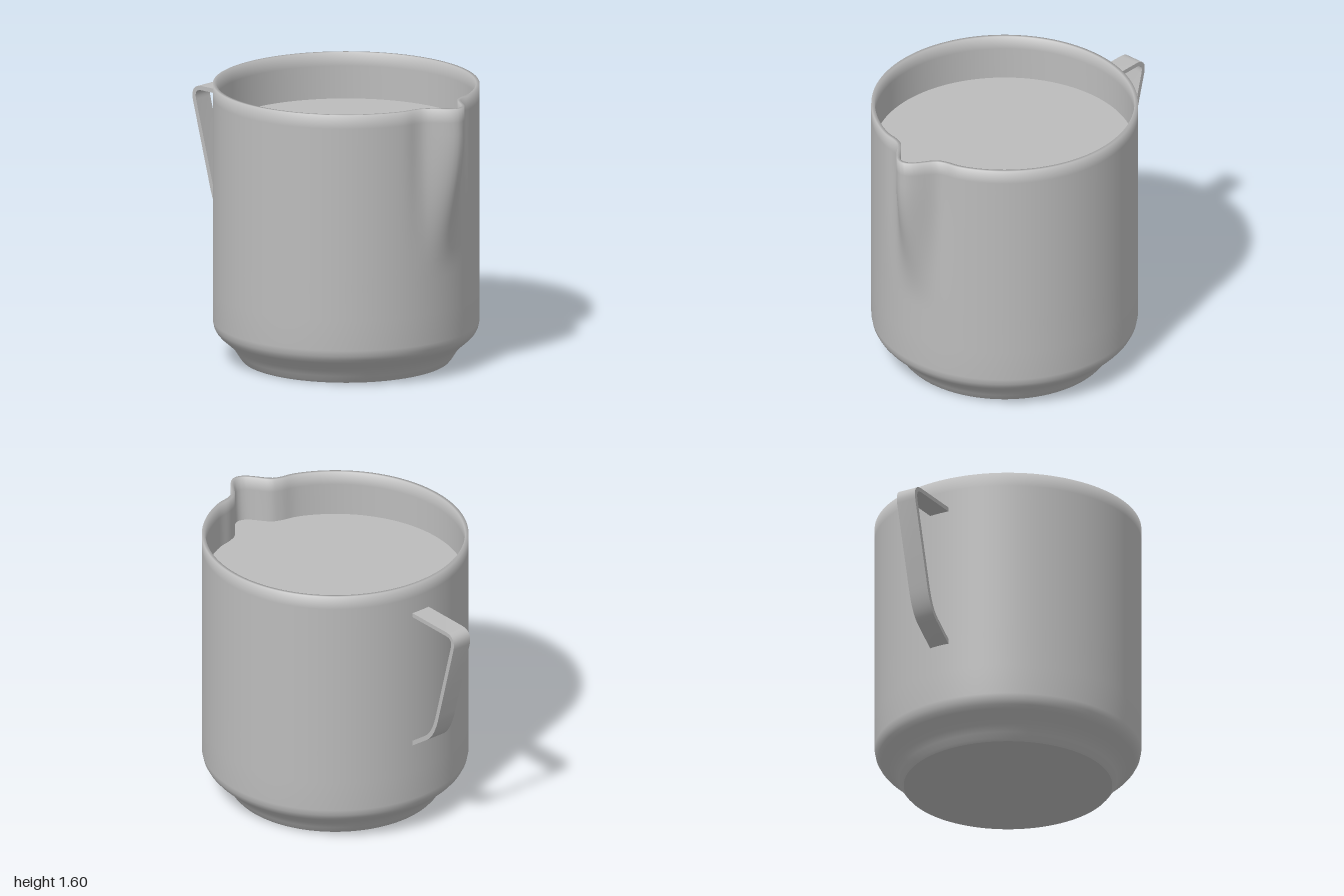
import * as THREE from 'three';
import { toCreasedNormals } from 'three/addons/utils/BufferGeometryUtils.js';

const SEGMENTS = 240;
const CENTER_Z = 0.12; // axis of the round body
const TOP = 1.6;

// How far the pouring spout pushes the wall out at sideways distance x and height y
function spout(x, y, halfWidth) {
  const rise = THREE.MathUtils.smoothstep(y, 0.62, 1.45);
  const d = Math.abs(x);
  const ridge = d < halfWidth ? 0.125 * Math.cos((Math.PI / 2) * d / halfWidth) ** 2 : 0;
  const dent = 0.01 * Math.exp(-(((d - 0.2) / 0.05) ** 2));
  return rise * (ridge - dent);
}

// Sweeps rows of [radius, height, spout half width] around the body axis
function sweep(rows) {
  const positions = [], index = [];
  rows.forEach(([r, y, halfWidth], i) => {
    for (let j = 0; j < SEGMENTS; j++) {
      const a = (j / SEGMENTS) * Math.PI * 2;
      const bump = halfWidth && Math.cos(a) > 0 ? spout(r * Math.sin(a), y, halfWidth) : 0;
      positions.push((r + bump) * Math.sin(a), y, CENTER_Z + (r + bump) * Math.cos(a));
      if (i < rows.length - 1) {
        const k = (j + 1) % SEGMENTS;
        const p = i * SEGMENTS + j, q = i * SEGMENTS + k;
        index.push(p, q, p + SEGMENTS, q, q + SEGMENTS, p + SEGMENTS);
      }
    }
  });
  const geometry = new THREE.BufferGeometry();
  geometry.setAttribute('position', new THREE.Float32BufferAttribute(positions, 3));
  geometry.setIndex(index);
  geometry.computeVertexNormals();
  return geometry;
}

function wallGeometry() {
  const rows = [
    [0.59, 0], [0.603, 0.015], [0.622, 0.045], [0.645, 0.08], [0.68, 0.112],
    [0.718, 0.145], [0.735, 0.165], [0.748, 0.19], [0.755, 0.225], [0.755, 0.4],
  ];
  for (let y = 0.6; y < 1.5; y += 0.05) rows.push([0.755, y, 0.17]);
  rows.push([0.755, 1.52, 0.17], [0.755, TOP, 0.17]);
  rows.push([0.735, TOP, 0.155], [0.735, 1.52, 0.155], [0.735, 1.3, 0.155]);
  const geometry = sweep(rows);

  // Soften the shading over the lip
  const position = geometry.attributes.position, normal = geometry.attributes.normal;
  const n = new THREE.Vector3();
  for (let i = 0; i < position.count; i++) {
    if (position.getY(i) < TOP - 0.001) continue;
    n.fromBufferAttribute(normal, i).setY(0).normalize().setY(0.9).normalize();
    normal.setXYZ(i, n.x, n.y, n.z);
  }
  return geometry;
}

// Flat strap following a bent path in the z-y plane
function handleGeometry() {
  const path = new THREE.Path();
  path.moveTo(-0.62, 1.408);
  path.lineTo(-0.93, 1.408);
  path.quadraticCurveTo(-1.0, 1.408, -0.984, 1.335);
  path.lineTo(-0.855, 0.855);
  path.quadraticCurveTo(-0.82, 0.715, -0.755, 0.67);
  path.lineTo(-0.62, 0.575);
  const points = path.getPoints(8);
  const half = 0.0125;
  const outer = [], inner = [];
  points.forEach((p, i) => {
    const before = points[Math.max(i - 1, 0)];
    const after = points[Math.min(i + 1, points.length - 1)];
    const t = after.clone().sub(before).normalize();
    const side = new THREE.Vector2(t.y, -t.x).multiplyScalar(half);
    outer.push(p.clone().add(side));
    inner.unshift(p.clone().sub(side));
  });
  const width = 0.12;
  const geometry = new THREE.ExtrudeGeometry(new THREE.Shape([...outer, ...inner]), {
    depth: width, bevelEnabled: false,
  });
  geometry.translate(0, 0, -width / 2);
  geometry.rotateY(-Math.PI / 2);
  return toCreasedNormals(geometry, 0.6);
}

export function createModel() {
  const steel = new THREE.MeshStandardMaterial({ color: 0xbcbcbc });
  steel.name = 'brushed grey';

  const model = new THREE.Group();
  model.name = 'pouringJug';
  const add = (name, geometry) => {
    const mesh = new THREE.Mesh(geometry, steel);
    mesh.name = name;
    model.add(mesh);
  };

  // Round wall with lip, spout and inner face
  add('wall', wallGeometry());
  // Flat underside
  add('base', sweep([[0, 0], [0.59, 0]]));
  // Liquid filling the jug to just under the lip
  add('liquid', sweep([[0.737, 1.33, 0.155], [0, 1.33]]));
  // Strap handle at the back
  add('handle', handleGeometry());
  return model;
}
